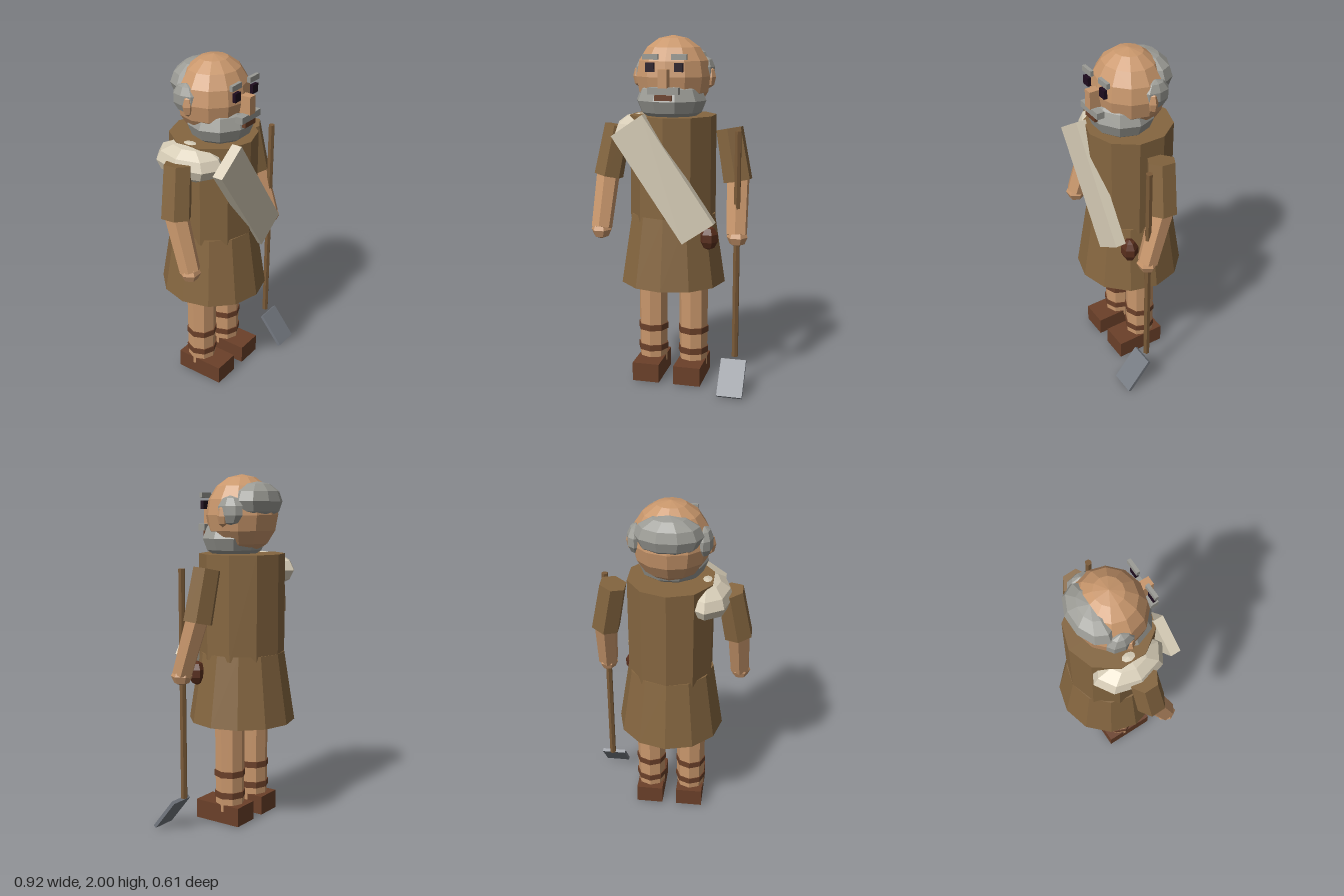
import * as THREE from 'three';

const mat = (name, color) => {
  const m = new THREE.MeshStandardMaterial({ color, flatShading: true });
  m.name = name;
  return m;
};

export function createModel() {
  const skin = mat('skin', 0xc9976c);
  const tunic = mat('tunic brown', 0x856640);
  const hair = mat('grey hair', 0x9b9b95);
  const cream = mat('cream cloth', 0xd6ccb6);
  const leather = mat('leather', 0x6b4029);
  const darkLeather = mat('dark leather', 0x5a2f1d);
  const wood = mat('wood', 0x7a5a38);
  const iron = mat('iron', 0x747981);
  const eyeDark = mat('eye dark', 0x1e0c1e);

  const root = new THREE.Group();
  root.name = 'farmer';
  const body = new THREE.Group();
  body.name = 'body';
  body.position.x = -0.009;
  root.add(body);

  const add = (name, geo, material, x, y, z, parent = body) => {
    const m = new THREE.Mesh(geo, material);
    m.name = name;
    m.position.set(x, y, z);
    parent.add(m);
    return m;
  };
  const box = (name, w, h, d, material, x, y, z, parent) =>
    add(name, new THREE.BoxGeometry(w, h, d), material, x, y, z, parent);
  const ball = (name, rx, ry, rz, ws, hs, material, x, y, z, parent) =>
    add(name, new THREE.SphereGeometry(1, ws, hs).scale(rx, ry, rz), material, x, y, z, parent);
  const tube = (name, rTop, rBottom, y0, y1, sides, material, x, z, parent) =>
    add(name, new THREE.CylinderGeometry(rTop, rBottom, y1 - y0, sides), material, x, (y0 + y1) / 2, z, parent);
  // Tapered limb running from a top point to a bottom point
  const limb = (name, top, bottom, rTop, rBottom, material) => {
    const a = new THREE.Vector3(...top), b = new THREE.Vector3(...bottom);
    const dir = a.clone().sub(b);
    const c = a.clone().add(b).multiplyScalar(0.5);
    const m = add(name, new THREE.CylinderGeometry(rTop, rBottom, dir.length(), 6), material, c.x, c.y, c.z);
    m.quaternion.setFromUnitVectors(new THREE.Vector3(0, 1, 0), dir.normalize());
  };

  // Tunic
  tube('torso', 0.245, 0.245, 0.97, 1.56, 10, tunic, 0, 0);
  tube('skirt', 0.245, 0.307, 0.6, 1.0, 12, tunic, 0, 0);

  // Head, beard and hair
  ball('head', 0.215, 0.225, 0.2, 12, 8, skin, 0, 1.775, 0);
  ball('beard', 0.2, 0.13, 0.18, 10, 6, hair, 0, 1.645, 0.05);
  ball('backHair', 0.185, 0.11, 0.12, 10, 6, hair, 0, 1.85, -0.105);
  box('nose', 0.05, 0.1, 0.08, skin, 0, 1.77, 0.21);
  box('moustache', 0.17, 0.037, 0.045, hair, 0, 1.705, 0.222);
  box('mouth', 0.095, 0.03, 0.02, leather, 0, 1.668, 0.228);

  for (const s of [-1, 1]) {
    const side = s > 0 ? 'left' : 'right';
    // Face details
    box(side + 'Eye', 0.048, 0.048, 0.02, eyeDark, s * 0.08, 1.83, 0.203);
    box(side + 'Eyebrow', 0.085, 0.03, 0.02, hair, s * 0.08, 1.885, 0.197);
    ball(side + 'Ear', 0.035, 0.06, 0.03, 6, 4, skin, s * 0.205, 1.77, -0.015);
    ball(side + 'SideHair', 0.05, 0.082, 0.085, 8, 5, hair, s * 0.18, 1.8, -0.048);

    // Arms
    limb(side + 'Sleeve', [s * 0.325, 1.49, 0.005], [s * 0.38, 1.2, 0.028], 0.08, 0.086, tunic);
    limb(side + 'Forearm', [s * 0.38, 1.24, 0.025], [s * 0.395, 0.91, 0.128], 0.068, 0.06, skin);
    ball(side + 'Hand', 0.06, 0.055, 0.06, 6, 4, skin, s * 0.397, 0.9, 0.13);

    // Legs, straps and shoes
    tube(side + 'Leg', 0.087, 0.083, 0.08, 0.7, 8, skin, s * 0.122, 0);
    for (const y of [0.177, 0.302])
      tube(side + 'LegStrap', 0.09, 0.09, y - 0.018, y + 0.018, 8, leather, s * 0.122, 0);
    box(side + 'Shoe', 0.158, 0.11, 0.296, leather, s * 0.122, 0.065, 0.037);
  }

  // Sash and shoulder cloth
  box('sash', 0.214, 0.71, 0.06, cream, 0, 1.225, 0.232).rotation.z = 0.6;
  ball('shoulderCloth', 0.145, 0.105, 0.215, 8, 6, cream, -0.2, 1.46, -0.01);

  // Belt pouch
  ball('pouch', 0.056, 0.07, 0.05, 6, 5, darkLeather, 0.238, 0.89, 0.145);

  // Spade
  tube('spadeShaft', 0.019, 0.019, 0.195, 1.49, 6, wood, 0.385, 0.125, root);
  box('spadeBlade', 0.145, 0.22, 0.02, iron, 0.383, 0.096, 0.218, root).rotation.x = -0.68;

  return root;
}
